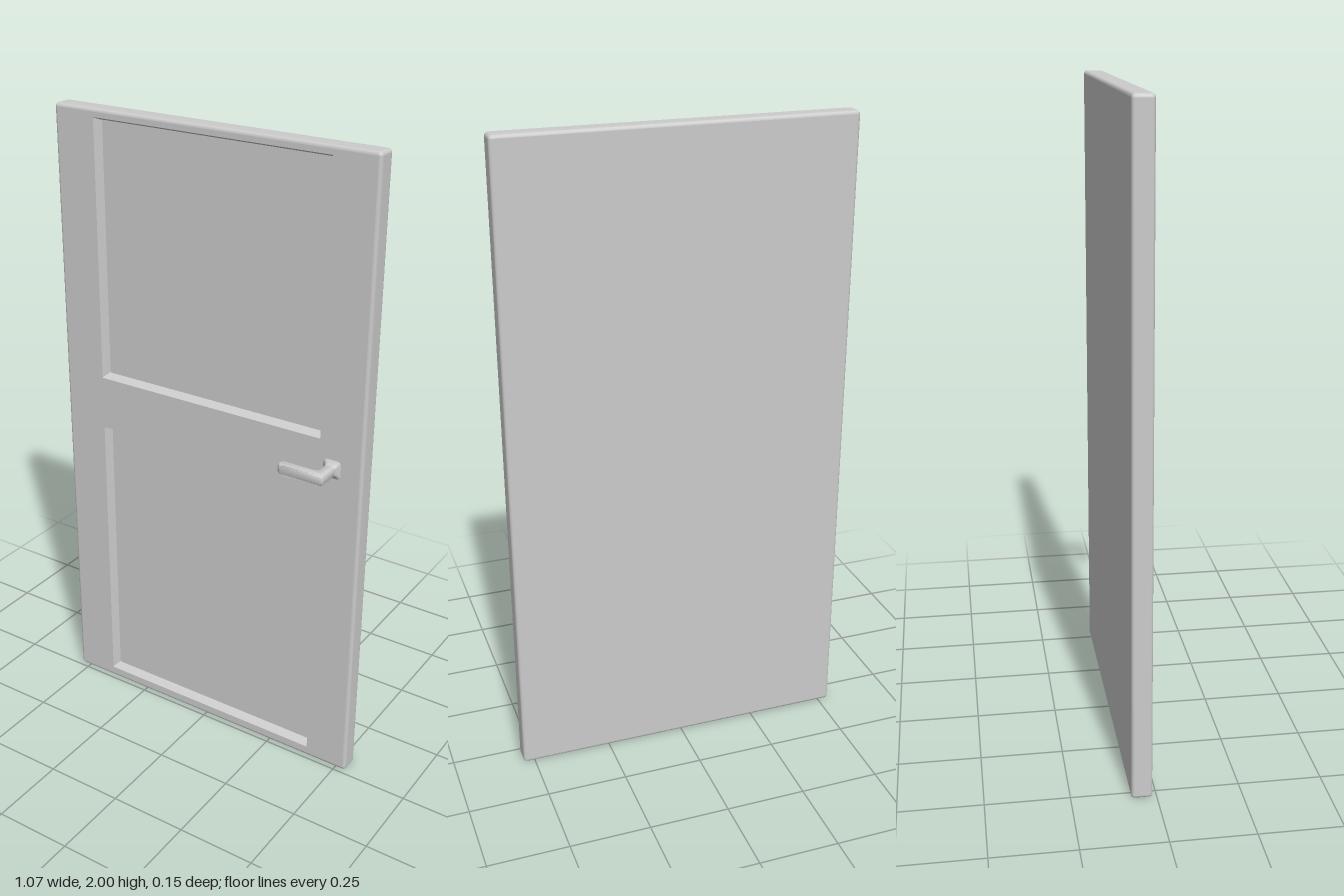
import * as THREE from 'three';
import { mergeGeometries, toCreasedNormals } from 'three/addons/utils/BufferGeometryUtils.js';

const material = new THREE.MeshStandardMaterial({ color: 0xcccccc });
const BACK = -0.075, FRONT = -0.013, W = 0.536, BEVEL = 0.01;

// Counter-clockwise rounded rectangle, as a list of points
function rect(x0, y0, x1, y1, r, n = 4) {
  const corners = [[x1 - r, y1 - r], [x0 + r, y1 - r], [x0 + r, y0 + r], [x1 - r, y0 + r]];
  const pts = [];
  corners.forEach(([cx, cy], q) => {
    for (let i = 0; i <= n; i++) {
      const a = (q + i / n) * Math.PI / 2;
      pts.push(new THREE.Vector2(cx + r * Math.cos(a), cy + r * Math.sin(a)));
    }
  });
  return pts;
}

// Skin through loops ordered from back to front; faces point outward
// (list them front to back for a surface that faces inward)
function loft(loops) {
  const n = loops[0].pts.length, pos = [], index = [];
  for (const { pts, z } of loops) for (const p of pts) pos.push(p.x, p.y, z);
  for (let k = 0; k < loops.length - 1; k++) {
    for (let i = 0; i < n; i++) {
      const a = k * n + i, b = k * n + (i + 1) % n;
      index.push(a, b, b + n, a, b + n, a + n);
    }
  }
  const g = new THREE.BufferGeometry();
  g.setAttribute('position', new THREE.Float32BufferAttribute(pos, 3));
  g.setIndex(index);
  g.computeVertexNormals();
  return g;
}

function flat(outline, z, holes = []) {
  const shape = new THREE.Shape(outline);
  shape.holes = holes.map(h => new THREE.Path(h));
  const g = new THREE.ShapeGeometry(shape).translate(0, 0, z);
  g.deleteAttribute('uv');
  return g;
}

function add(group, name, geometry) {
  const mesh = new THREE.Mesh(geometry, material);
  mesh.name = name;
  group.add(mesh);
}

export function createModel() {
  const group = new THREE.Group();
  group.name = 'door';

  // Door leaf: rounded edges, plain back, front face with two openings
  const edge = inset => rect(-W + inset, inset, W - inset, 2 - inset, 0.012 - inset);
  const loops = [];
  for (let i = 0; i <= 4; i++) {
    const a = i / 4 * Math.PI / 2;
    loops.push({ pts: edge(BEVEL * (1 - Math.sin(a))), z: BACK + BEVEL * (1 - Math.cos(a)) });
  }
  for (let i = 4; i >= 0; i--) {
    const a = i / 4 * Math.PI / 2;
    loops.push({ pts: edge(BEVEL * (1 - Math.sin(a))), z: FRONT - BEVEL * (1 - Math.cos(a)) });
  }
  const panels = [[0.034, 0.98], [1.153, 1.974]];
  const opening = ([y0, y1], d) => rect(-0.394 + d, y0 + d, 0.394 - d, y1 - d, 0.001, 1);
  const back = flat(edge(BEVEL), 0).rotateY(Math.PI).translate(0, 0, BACK);
  const front = flat(edge(BEVEL), FRONT, panels.map(p => opening(p, 0)));
  add(group, 'leaf', mergeGeometries([loft(loops), back, front]));

  // Recessed panels with sloping sides
  panels.forEach((p, i) => {
    const name = i ? 'upper' : 'lower', depth = FRONT - 0.028;
    const sides = loft([{ pts: opening(p, 0.011), z: depth }, { pts: opening(p, 0), z: FRONT }]);
    // Turn the skin inward
    const ix = sides.index.array;
    for (let k = 0; k < ix.length; k += 3) [ix[k + 1], ix[k + 2]] = [ix[k + 2], ix[k + 1]];
    add(group, name + 'Moulding', toCreasedNormals(sides, 0.4));
    add(group, name + 'Panel', flat(opening(p, 0.011), depth));
  });

  // Lever handle: bent bar with rounded edges, drawn in plan
  const handle = new THREE.Group();
  handle.name = 'handle';
  const HY = 1.067, b = 0.01;
  const plan = new THREE.Shape();
  plan.moveTo(0.419, FRONT - 0.005);
  plan.lineTo(0.453, FRONT - 0.005);
  plan.lineTo(0.453, 0.065);
  plan.quadraticCurveTo(0.453, 0.075, 0.443, 0.075);
  plan.lineTo(0.314, 0.075);
  plan.absarc(0.3155, 0.0585, 0.0165, Math.PI / 2, Math.PI * 1.5, false);
  plan.lineTo(0.407, 0.042);
  plan.quadraticCurveTo(0.419, 0.042, 0.419, 0.03);
  plan.closePath();
  const bar = new THREE.ExtrudeGeometry(plan, {
    depth: 0.034 - 2 * b, bevelThickness: b, bevelSize: b, bevelOffset: -b,
    bevelSegments: 4, curveSegments: 8,
  });
  bar.translate(0, 0, b - 0.017).rotateX(Math.PI / 2).translate(0, HY, 0);
  add(handle, 'lever', toCreasedNormals(bar, 0.6));

  // Flared foot where the handle meets the leaf
  const foot = [[0.029, FRONT], [0.023, -0.009], [0.019, -0.003], [0.0165, 0.006]].map(([h, z]) => ({
    pts: rect(0.436 - h, HY - h, 0.436 + h, HY + h, 0.01), z,
  }));
  add(handle, 'foot', loft(foot));
  group.add(handle);
  return group;
}
